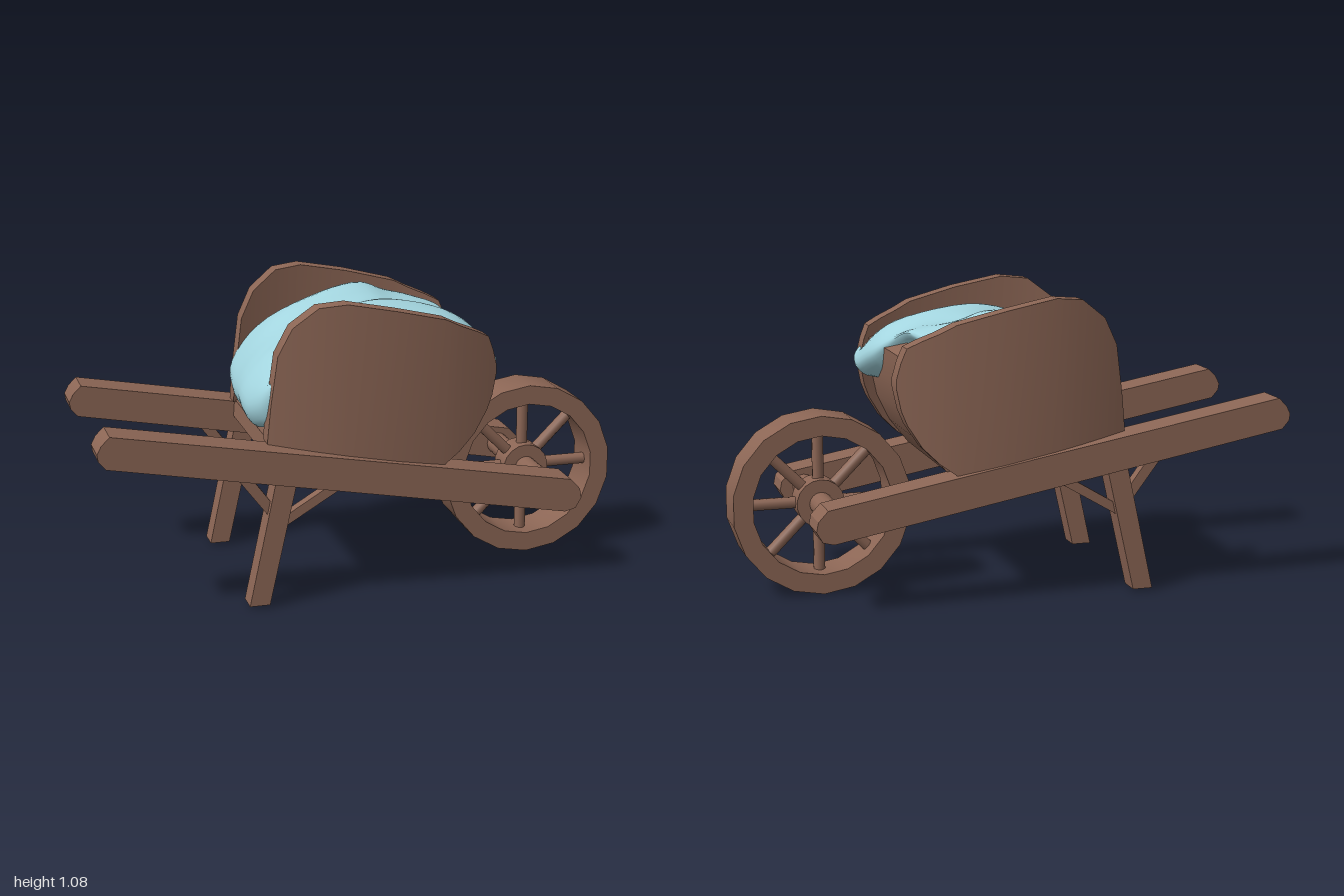
import * as THREE from 'three';
import { toCreasedNormals } from 'three/addons/utils/BufferGeometryUtils.js';

const wood = new THREE.MeshStandardMaterial({ color: 0x8c6655 });
wood.name = 'wood';
const cloth = new THREE.MeshStandardMaterial({ color: 0xa2d4de });
cloth.name = 'cloth';

const V2 = (p) => new THREE.Vector2(p[0], p[1]);

function addMesh(parent, name, geometry, material = wood) {
  const mesh = new THREE.Mesh(geometry, material);
  mesh.name = name;
  parent.add(mesh);
  return mesh;
}

// Side profile (x, y) extruded between two z values
function slab(points, z0, z1, hole) {
  const shape = new THREE.Shape(points.map(V2));
  if (hole) shape.holes.push(new THREE.Path(hole.map(V2)));
  const geo = new THREE.ExtrudeGeometry(shape, { depth: z1 - z0, bevelEnabled: false });
  geo.translate(0, 0, z0);
  return toCreasedNormals(geo, 0.5);
}

// Skin over closed rings of equal length, with capped ends
function loft(rings, crease) {
  const n = rings[0].length, pos = [], index = [];
  rings.forEach((r) => r.forEach((p) => pos.push(...p)));
  for (let i = 0; i < rings.length - 1; i++) {
    for (let j = 0; j < n; j++) {
      const k = (j + 1) % n, a = i * n + j, d = i * n + k;
      index.push(a, a + n, d + n, a, d + n, d);
    }
  }
  [0, rings.length - 1].forEach((i) => {
    const c = pos.length / 3;
    for (let q = 0; q < 3; q++) pos.push(rings[i].reduce((s, p) => s + p[q], 0) / n);
    for (let j = 0; j < n; j++) {
      const a = i * n + j, b = i * n + (j + 1) % n;
      if (i === 0) index.push(c, a, b);
      else index.push(c, b, a);
    }
  });
  const geo = new THREE.BufferGeometry();
  geo.setAttribute('position', new THREE.Float32BufferAttribute(pos, 3));
  geo.setIndex(index);
  return toCreasedNormals(geo, crease);
}

// Bowed side board: x, bottom y, top y
const boardStations = [
  [-0.387, 0.583, 0.6], [-0.375, 0.581, 0.72], [-0.35, 0.577, 0.9], [-0.3, 0.568, 1.0],
  [-0.21, 0.552, 1.07], [-0.11, 0.534, 1.08], [0.07, 0.501, 1.045], [0.25, 0.467, 1.0],
  [0.31, 0.51, 0.97], [0.37, 0.57, 0.945], [0.42, 0.65, 0.92], [0.44, 0.7, 0.87], [0.456, 0.78, 0.81],
];
function sideBoard(s) {
  const rings = boardStations.map(([x, yb, yt]) => {
    const inner = 0.24 + 0.065 * (1 - ((x - 0.035) / 0.42) ** 2);
    const zi = s * inner - 0.008, zo = s * (inner + 0.067) - 0.008;
    return [[x, yb, zi], [x, yb, zo], [x, yt, zo], [x, yt, zi]];
  });
  return loft(s > 0 ? rings : rings.reverse(), 0.6);
}

// Draped load: z, back x, back y, top y, front x, front hem y
const loadSections = [
  [-0.32, -0.34, 0.68, 0.93, 0.24, 0.88],
  [-0.26, -0.395, 0.64, 1.0, 0.32, 0.89],
  [-0.18, -0.41, 0.63, 1.02, 0.345, 0.89],
  [-0.08, -0.42, 0.62, 0.995, 0.37, 0.88],
  [0.0, -0.425, 0.62, 1.0, 0.42, 0.84],
  [0.06, -0.43, 0.62, 1.01, 0.46, 0.79],
  [0.17, -0.425, 0.62, 0.96, 0.487, 0.745],
  [0.25, -0.4, 0.64, 0.9, 0.47, 0.78],
  [0.285, -0.36, 0.68, 0.86, 0.4, 0.83],
];
function drapedLoad() {
  const keys = loadSections.map(([z, bx, by, top, fx, fy]) => {
    const pts = [
      [bx + 0.04, by - 0.01], [bx, by + 0.06], [bx + 0.03, by + 0.14],
      [-0.25, top - 0.1], [-0.06, top - 0.025], [0.1, top], [fx - 0.16, top - 0.025],
      [fx - 0.05, top + (fy - top) * 0.4], [fx, fy + 0.05], [fx - 0.04, fy],
      [0.26, 0.72], [0, 0.64], [-0.28, 0.63],
    ];
    const curve = new THREE.CatmullRomCurve3(pts.map(([x, y]) => new THREE.Vector3(x, y, z)), true);
    return Array.from({ length: 52 }, (_, j) => curve.getPoint(j / 52));
  });
  const lines = keys[0].map((_, j) => new THREE.CatmullRomCurve3(keys.map((k) => k[j])));
  const rings = Array.from({ length: 33 }, (_, i) => lines.map((l) => {
    const p = l.getPoint(i / 32);
    // soft folds
    const fold = 0.006 * Math.sin(p.x * 11 + p.z * 24);
    return [p.x, p.y + fold, p.z];
  }));
  return loft(rings, 1.0);
}

// Spoked wheel centred on its own axle
function buildWheel() {
  const wheel = new THREE.Group();
  wheel.name = 'wheel';
  const circle = (r) => Array.from({ length: 18 }, (_, i) => {
    const a = (i + 0.5) / 18 * Math.PI * 2;
    return [r * Math.cos(a), r * Math.sin(a)];
  });
  addMesh(wheel, 'rim', slab(circle(0.327), -0.085, 0.076, circle(0.255)));
  const hub = addMesh(wheel, 'hub', new THREE.CylinderGeometry(0.088, 0.088, 0.1, 18));
  hub.rotation.x = Math.PI / 2;
  for (let i = 0; i < 8; i++) {
    const a = i * Math.PI / 4;
    const spoke = addMesh(wheel, 'spoke', new THREE.CylinderGeometry(0.021, 0.021, 0.2, 10));
    spoke.position.set(-0.17 * Math.sin(a), 0.17 * Math.cos(a), 0);
    spoke.rotation.z = a;
  }
  const axle = addMesh(wheel, 'axle', new THREE.CylinderGeometry(0.042, 0.042, 0.54, 16));
  axle.rotation.x = Math.PI / 2;
  return wheel;
}

export function createModel() {
  const barrow = new THREE.Group();
  barrow.name = 'wheelbarrow';

  const rail = [[-0.97, 0.57], [0.7, 0.262], [0.74, 0.272], [0.762, 0.31], [0.755, 0.345], [0.72, 0.383],
    [-0.955, 0.685], [-0.985, 0.655], [-1, 0.625], [-0.996, 0.6]];
  const leg = [[-0.475, 0.01], [-0.402, 0.01], [-0.295, 0.48], [-0.368, 0.5]];
  const backBrace = [[-0.398, 0.335], [-0.388, 0.385], [-0.48, 0.51], [-0.515, 0.49]];
  const frontBrace = [[-0.34, 0.29], [-0.13, 0.415], [-0.13, 0.455], [-0.33, 0.335]];

  // Parts repeated on both sides
  for (const s of [1, -1]) {
    const span = (pts, a, b, shift = -0.007) =>
      slab(pts, Math.min(s * a, s * b) + shift, Math.max(s * a, s * b) + shift);
    addMesh(barrow, 'rail', span(rail, 0.262, 0.392, -0.002));
    addMesh(barrow, 'leg', span(leg, 0.293, 0.377));
    addMesh(barrow, 'backBrace', span(backBrace, 0.315, 0.355));
    addMesh(barrow, 'frontBrace', span(frontBrace, 0.315, 0.355));
    addMesh(barrow, 'sideBoard', sideBoard(s));
  }

  // Floor sweeping up into the front wall
  const tray = [[-0.385, 0.525], [0.2, 0.415], [0.27, 0.47], [0.34, 0.56], [0.39, 0.66], [0.415, 0.77], [0.42, 0.875],
    [0.35, 0.9], [0.345, 0.78], [0.32, 0.68], [0.27, 0.58], [0.18, 0.485], [-0.38, 0.59]];
  addMesh(barrow, 'tray', slab(tray, -0.275, 0.26));

  addMesh(barrow, 'load', drapedLoad(), cloth);

  const wheel = buildWheel();
  wheel.position.set(0.672, 0.327, 0);
  barrow.add(wheel);
  return barrow;
}
